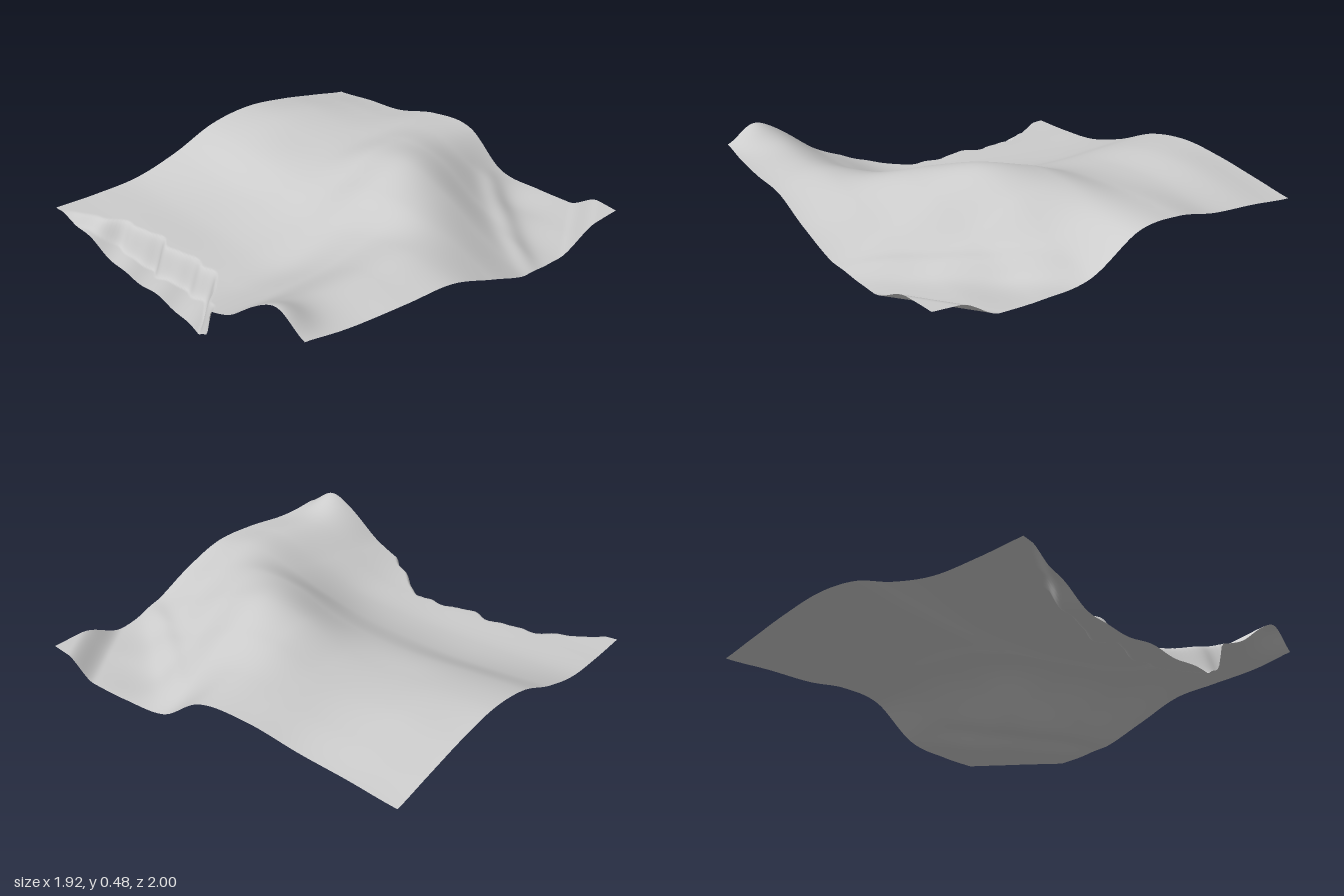
import * as THREE from 'three';

const { lerp, smoothstep } = THREE.MathUtils;

// Smooth curve through evenly spaced values, t from 0 to 1
function spline(values, t) {
  const n = values.length - 1;
  const f = Math.min(Math.max(t, 0), 1) * n;
  const i = Math.min(Math.floor(f), n - 1);
  const k = f - i;
  const at = (j) => values[Math.min(Math.max(j, 0), n)];
  const [a, b, c, d] = [at(i - 1), at(i), at(i + 1), at(i + 2)];
  return b + 0.5 * k * (c - a + k * (2 * a - 5 * b + 4 * c - d + k * (3 * (b - c) + d - a)));
}

// Cross-sections of the cloth from back to front, each running from -x to +x
const sections = [
  [0.15, 0.15, 0.165, 0.23, 0.325, 0.36, 0.34, 0.30, 0.26],
  [0.15, 0.15, 0.16, 0.215, 0.315, 0.36, 0.36, 0.325, 0.285],
  [0.155, 0.155, 0.16, 0.205, 0.30, 0.335, 0.345, 0.33, 0.305],
  [0.16, 0.16, 0.165, 0.215, 0.305, 0.355, 0.37, 0.37, 0.36],
  [0.16, 0.16, 0.175, 0.235, 0.345, 0.435, 0.43, 0.385, 0.355],
  [0.175, 0.18, 0.205, 0.29, 0.425, 0.48, 0.41, 0.29, 0.20],
  [0.26, 0.275, 0.305, 0.365, 0.435, 0.40, 0.285, 0.19, 0.185],
  [0.415, 0.39, 0.40, 0.415, 0.375, 0.285, 0.20, 0.185, 0.19],
  [0.375, 0.365, 0.375, 0.37, 0.295, 0.21, 0.18, 0.185, 0.19],
];

// Outline of the cloth
const minXEdge = [-0.94, -0.91, -0.895, -0.90, -0.91, -0.935, -0.955, -0.96, -0.945];
const maxXEdge = [0.915, 0.915, 0.915, 0.94, 0.955, 0.94, 0.945, 0.94, 0.91];
const frontEdge = [0.93, 0.95, 0.98, 0.99, 0.995, 0.98, 0.95, 0.945, 0.935];

// Where the -x side drops over an edge, and how low it falls
const hinge = [-0.95, -0.80, -0.725, -0.73, -0.71, -0.89, -1.1, -1.1, -1.1];
const floor = [0.15, 0.085, 0.014, 0.025, 0.03, 0.02, 0.05, 0.05, 0.05];

// Local folds on top of the broad shape
function folds(x, z) {
  const curledCorner = 0.08 * smoothstep(0.67 * x + z, 1.28, 1.45);
  const raisedCorner = 0.055 * Math.exp(-(((x + 0.96) / 0.11) ** 2) - ((z - 0.8) / 0.1) ** 2);
  const across = z + 1.33 * (x - 0.55) - 0.57;
  const terrace = 0.022 * Math.exp(-((across / 0.1) ** 2))
    * smoothstep(x, 0.2, 0.4) * smoothstep(z, 0.15, 0.4);
  return curledCorner + raisedCorner + terrace;
}

function createCloth(material) {
  const geometry = new THREE.PlaneGeometry(2, 2, 150, 130);
  const p = geometry.attributes.position;
  const uv = geometry.attributes.uv;
  for (let i = 0; i < p.count; i++) {
    // Columns are closer together near the drop
    const u = Math.pow(uv.getX(i), 1.5);
    const v = 1 - uv.getY(i);
    const z = -1 + v * (spline(frontEdge, u) + 1);
    const t = (z + 1) / 2;
    const x = lerp(spline(minXEdge, t), spline(maxXEdge, t), u);
    const top = spline(sections.map((row) => spline(row, (x + 0.95) / 1.9)), v) + folds(x, z);

    // Gathered drop with soft vertical folds
    const wave = 0.012 * Math.sin(z * 27) + 0.006 * Math.sin(z * 47 + 1);
    const fall = smoothstep(spline(hinge, t) + wave - x, 0, 0.075);
    const low = Math.min(spline(floor, t) + 0.008 * Math.sin(z * 22 + x * 15), top);
    p.setXYZ(i, x, lerp(top, low, fall), z);
  }
  geometry.computeBoundingBox();
  geometry.translate(0, -geometry.boundingBox.min.y, 0);
  geometry.computeVertexNormals();
  const mesh = new THREE.Mesh(geometry, material);
  mesh.name = 'drapedCloth';
  return mesh;
}

export function createModel() {
  const group = new THREE.Group();
  group.name = 'cloth';
  const fabric = new THREE.MeshStandardMaterial({ color: 0xcccccc, side: THREE.DoubleSide });
  fabric.name = 'light grey fabric';
  group.add(createCloth(fabric));
  return group;
}
